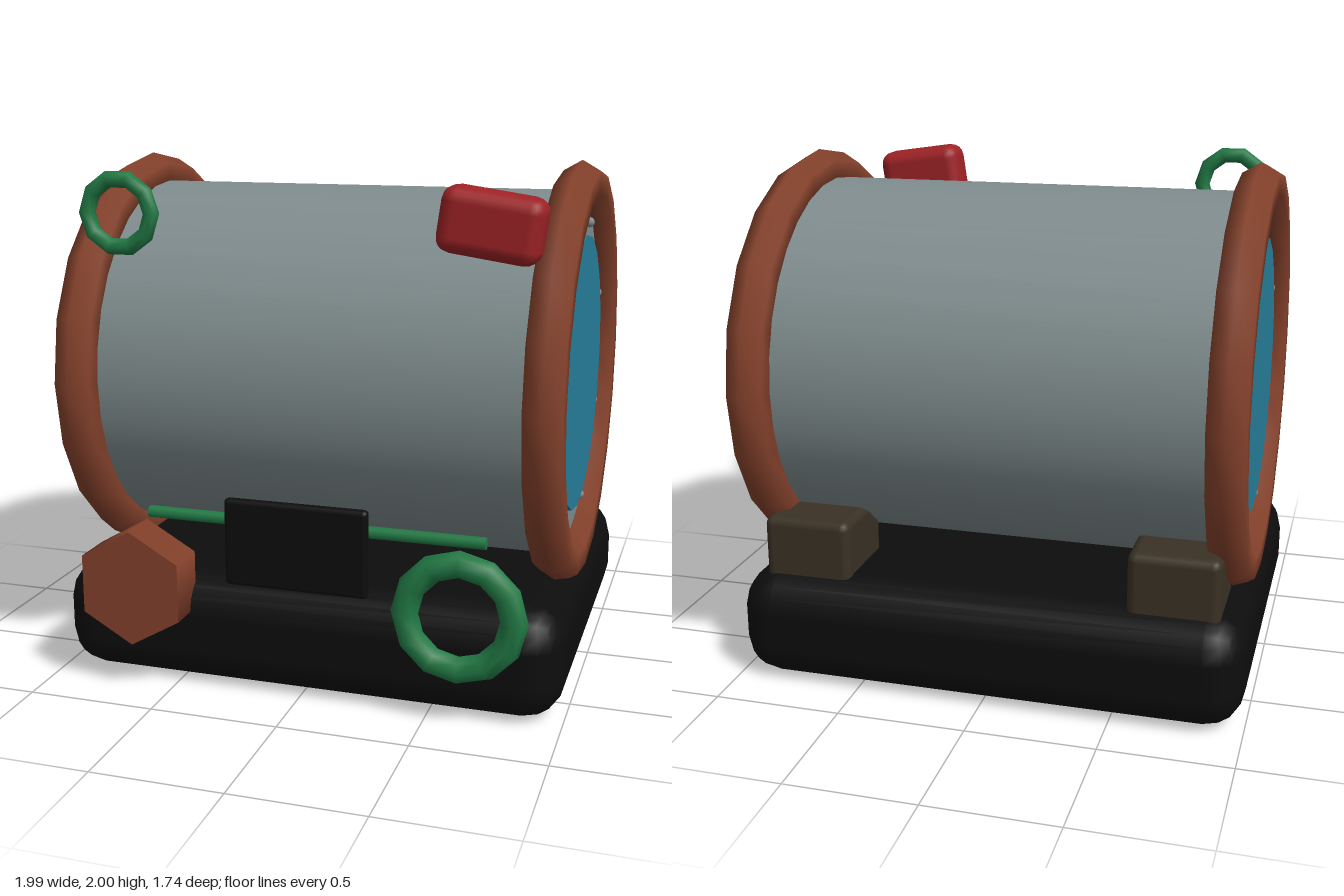
import * as THREE from 'three';
import { RoundedBoxGeometry } from 'three/addons/geometries/RoundedBoxGeometry.js';

const material = (name, color) => {
  const m = new THREE.MeshStandardMaterial({ color });
  m.name = name;
  return m;
};

export function createModel() {
  const steel = material('steel grey', 0x7f8c8d);
  const copper = material('copper brown', 0x84412b);
  const glass = material('blue glass', 0x277f9b);
  const green = material('valve green', 0x217a45);
  const red = material('red', 0x9e2226);
  const black = material('black', 0x0d0d0d);
  const darkBrown = material('dark brown', 0x3a3124);

  const model = new THREE.Group();
  model.name = 'tankOnBase';

  const add = (name, geometry, mat, x, y, z, parent = model) => {
    const mesh = new THREE.Mesh(geometry, mat);
    mesh.name = name;
    mesh.position.set(x, y, z);
    parent.add(mesh);
    return mesh;
  };
  // Cylinder lying along x
  const lyingCylinder = (r, length, sides) =>
    new THREE.CylinderGeometry(r, r, length, sides).rotateX(Math.PI / 2).rotateY(Math.PI / 2);

  const axisY = 1.167, axisZ = -0.035;

  // Rounded plinth
  add('base', new RoundedBoxGeometry(1.99, 0.435, 1.6, 2, 0.15), black, 0, 0.2175, axisZ);

  // Tank body
  add('drum', lyingCylinder(0.72, 1.8, 32), steel, 0, axisY, axisZ);

  // Both ends: rim, round window and bolts, plus a rear support block
  for (const side of [-1, 1]) {
    const end = new THREE.Group();
    end.name = side > 0 ? 'leftEnd' : 'rightEnd';
    end.position.set(side * 0.9, axisY, axisZ);
    model.add(end);
    add('rim', new THREE.TorusGeometry(0.752, 0.083, 6, 20).rotateY(Math.PI / 2), copper, 0, 0, 0, end);
    add('window', lyingCylinder(0.547, 0.06, 20), glass, 0, 0, 0, end);
    for (let i = 0; i < 8; i++) {
      const a = (i + 0.5) * Math.PI / 4;
      add('bolt', new THREE.SphereGeometry(0.021, 8, 6), steel,
        side * 0.005, Math.sin(a) * 0.62, Math.cos(a) * 0.62, end);
    }
    add('supportBlock', new RoundedBoxGeometry(0.35, 0.3, 0.35, 2, 0.035), darkBrown, side * 0.72, 0.505, -0.56);
  }

  // Front pipe and panel
  add('pipe', lyingCylinder(0.025, 1.36, 8), green, 0, 0.63, 0.57);
  add('panel', new RoundedBoxGeometry(0.56, 0.34, 0.042, 2, 0.018), black, 0, 0.61, 0.762);

  // Hexagonal nut
  const nut = new THREE.CylinderGeometry(0.227, 0.227, 0.17, 6).rotateX(Math.PI / 2);
  add('hexNut', nut, copper, -0.632, 0.417, 0.787);

  // Hand wheels
  add('largeWheel', new THREE.TorusGeometry(0.203, 0.052, 8, 12), green, 0.627, 0.417, 0.787);
  add('smallWheel', new THREE.TorusGeometry(0.13, 0.032, 8, 10), green, -0.707, 1.82, 0.69);

  // Tilted red block
  const block = add('redBlock', new RoundedBoxGeometry(0.37, 0.235, 0.166, 2, 0.055), red, 0.7, 1.82, 0.695);
  block.rotation.z = -0.145;

  return model;
}
